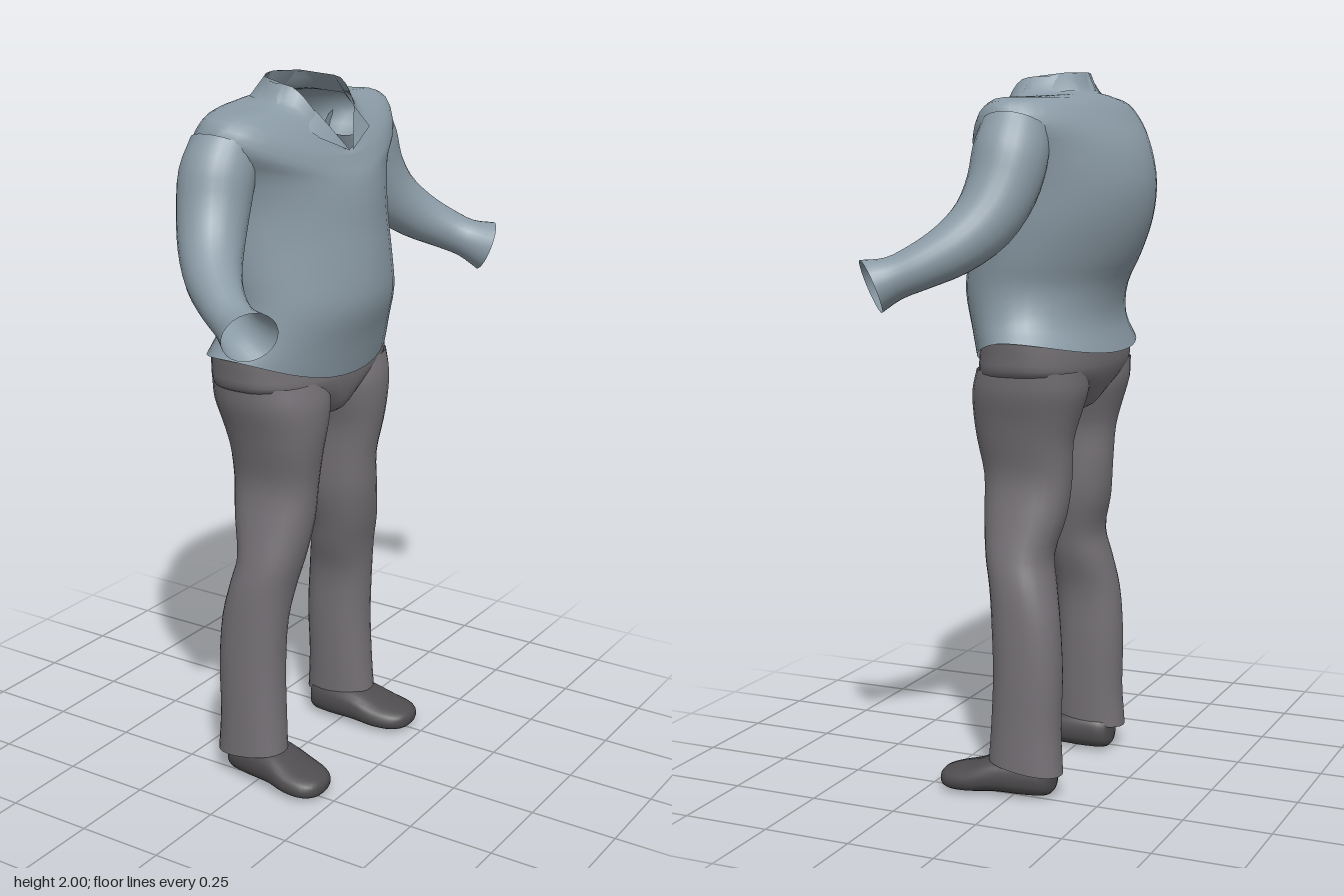
import * as THREE from 'three';

const V = (x, y, z) => new THREE.Vector3(x, y, z);
const material = (name, color) =>
  new THREE.MeshStandardMaterial({ name, color, side: THREE.DoubleSide });

// Skin through rings of equal point count, smoothed along the length; s = -1 mirrors it in z
function loft(rings, { s = 1, steps = 3, capStart = false, capEnd = false } = {}) {
  const n = rings[0].length, rows = (rings.length - 1) * steps + 1;
  const pos = [], idx = [];
  const lines = rings[0].map((_, j) => new THREE.CatmullRomCurve3(rings.map(r => r[j]), false, 'centripetal'));
  for (let i = 0; i < rows; i++)
    for (const line of lines) {
      const p = line.getPoint(i / (rows - 1));
      pos.push(p.x, p.y, p.z * s);
    }
  const tri = (a, b, c) => (s > 0 ? idx.push(a, b, c) : idx.push(a, c, b));
  for (let i = 0; i < rows - 1; i++)
    for (let j = 0; j < n; j++) {
      const a = i * n + j, b = i * n + (j + 1) % n;
      tri(a, a + n, b);
      tri(b, a + n, b + n);
    }
  const last = (rows - 1) * n;
  for (let j = 1; j < n - 1; j++) {
    if (capStart) tri(0, j, j + 1);
    if (capEnd) tri(last, last + j + 1, last + j);
  }
  const g = new THREE.BufferGeometry();
  g.setAttribute('position', new THREE.Float32BufferAttribute(pos, 3));
  g.setIndex(idx);
  g.computeVertexNormals();
  return g;
}

// Closed rounded outline: f(cos, sin) places each point, n is the squareness
function ring(count, n, f) {
  const e = v => Math.sign(v) * Math.abs(v) ** (2 / n);
  return Array.from({ length: count }, (_, j) => {
    const t = (j / count) * Math.PI * 2;
    return f(e(Math.cos(t)), e(Math.sin(t)));
  });
}

// Level ring with its own heights at back, side and front
function bodyRing([yBack, ySide, yFront, xBack, xFront, w, n = 2.05]) {
  return ring(40, n, (c, s) => V(
    (xBack + xFront) / 2 + c * (xFront - xBack) / 2,
    ySide + ((c > 0 ? yFront : yBack) - ySide) * c * c,
    w * s));
}

export function createModel() {
  const model = new THREE.Group();
  model.name = 'clothedFigure';
  const shirt = material('shirt blue grey', 0x8b9ba6);
  const trousers = material('trouser grey', 0x757176);
  const leather = material('shoe dark grey', 0x4f4d4f);
  const add = (name, geometry, mat) => {
    const mesh = new THREE.Mesh(geometry, mat);
    mesh.name = name;
    model.add(mesh);
  };

  // Shirt body from hem to open neck
  add('shirtBody', loft([
    [1.24, 1.285, 1.2, -0.22, 0.16, 0.352],
    [1.33, 1.335, 1.3, -0.195, 0.185, 0.32],
    [1.42, 1.42, 1.4, -0.21, 0.215, 0.305, 1.95],
    [1.5, 1.5, 1.5, -0.25, 0.21, 0.315, 1.88],
    [1.6, 1.6, 1.6, -0.285, 0.195, 0.325, 1.88],
    [1.7, 1.7, 1.68, -0.295, 0.185, 0.335, 1.88],
    [1.8, 1.79, 1.74, -0.27, 0.17, 0.36, 1.93],
    [1.87, 1.86, 1.77, -0.225, 0.155, 0.395],
    [1.92, 1.915, 1.79, -0.185, 0.145, 0.37],
    [1.94, 1.93, 1.8, -0.155, 0.14, 0.25],
    [1.95, 1.94, 1.805, -0.135, 0.135, 0.16],
    [2.0, 1.985, 1.81, -0.115, 0.13, 0.12],
  ].map(bodyRing)), shirt);

  // Trouser seat: wide at the hips, narrowing between the legs to the crotch
  add('trouserSeat', loft([
    [1.06, 1.065, 1.06, -0.07, 0.06, 0.05],
    [1.085, 1.09, 1.085, -0.13, 0.11, 0.085],
    [1.13, 1.135, 1.13, -0.162, 0.132, 0.18, 2.2],
    [1.19, 1.195, 1.19, -0.186, 0.142, 0.322, 2.5],
    [1.235, 1.24, 1.22, -0.19, 0.14, 0.335, 2.4],
    [1.29, 1.29, 1.24, -0.19, 0.14, 0.345, 2.2],
  ].map(bodyRing), { capStart: true }), trousers);

  for (const s of [1, -1]) {
    const side = s > 0 ? 'left' : 'right';

    // Sleeve: round sections across a bent arm line, open at the slanted cuff
    const path = [
      [-0.045, 1.845, 0.322, 0.092], [-0.045, 1.775, 0.36, 0.1], [-0.035, 1.69, 0.393, 0.095],
      [-0.005, 1.605, 0.445, 0.085], [0.05, 1.54, 0.51, 0.072], [0.12, 1.495, 0.565, 0.06],
      [0.175, 1.468, 0.595, 0.057], [0.23, 1.447, 0.615, 0.073],
    ];
    const points = path.map(p => V(p[0], p[1], p[2]));
    const reference = V(-0.3, 0.5, 0.9), cuffFacing = V(0.7, -0.35, 0.55).normalize();
    add(side + 'Sleeve', loft(path.map((p, i) => {
      const t = i === path.length - 1 ? cuffFacing
        : points[i + 1].clone().sub(points[Math.max(i - 1, 0)]).normalize();
      const u = reference.clone().addScaledVector(t, -reference.dot(t)).normalize();
      const w = u.clone().cross(t);
      return ring(24, 2, (c, q) => points[i].clone().addScaledVector(u, c * p[3]).addScaledVector(w, q * p[3]));
    }), { s }), shirt);

    // Trouser leg: height, back, front, inner and outer edges
    add(side + 'TrouserLeg', loft([
      [0.09, -0.14, 0.075, 0.168, 0.313], [0.2, -0.132, 0.068, 0.162, 0.312],
      [0.35, -0.135, 0.062, 0.156, 0.312], [0.5, -0.125, 0.068, 0.15, 0.308],
      [0.6, -0.105, 0.08, 0.12, 0.302], [0.68, -0.09, 0.098, 0.1, 0.288],
      [0.79, -0.118, 0.115, 0.074, 0.262], [0.9, -0.13, 0.122, 0.066, 0.244],
      [1.0, -0.135, 0.138, 0.058, 0.265], [1.07, -0.153, 0.146, 0.035, 0.284],
      [1.14, -0.172, 0.145, 0.01, 0.306], [1.2, -0.172, 0.128, 0.01, 0.314],
    ].map(([y, b, f, zi, zo]) => ring(28, 2.25, (c, q) => V(
      (b + f) / 2 + c * (f - b) / 2,
      y + (y < 0.1 ? c * 0.015 : 0),
      (zi + zo) / 2 + q * (zo - zi) / 2))), { s }), trousers);

    // Shoe: sections from heel to toe (x, bottom, top, centre z, half width)
    add(side + 'Shoe', loft([
      [-0.112, 0.03, 0.09, 0.222, 0.02], [-0.1, 0.012, 0.11, 0.223, 0.052],
      [-0.04, 0.006, 0.12, 0.226, 0.068], [0.05, 0.008, 0.112, 0.232, 0.077],
      [0.12, 0.004, 0.085, 0.24, 0.083], [0.18, 0.006, 0.07, 0.246, 0.072],
      [0.208, 0.014, 0.06, 0.247, 0.046], [0.218, 0.028, 0.046, 0.247, 0.012],
    ].map(([x, lo, hi, z, w]) => ring(24, 2.4, (c, q) => V(
      x, (lo + hi) / 2 + c * (hi - lo) / 2, z - q * w))), { s, capStart: true, capEnd: true }), leather);

    // Folded collar flap beside the open neck
    const flap = new THREE.BufferGeometry();
    flap.setAttribute('position', new THREE.Float32BufferAttribute([
      [-0.117, 2, 0], [-0.14, 1.95, 0], [-0.085, 1.997, 0.085], [-0.108, 1.947, 0.12],
      [0.005, 1.985, 0.121], [0.01, 1.932, 0.165], [0.09, 1.912, 0.088], [0.118, 1.855, 0.125], [0.138, 1.808, 0.006],
    ].flatMap(([x, y, z]) => [x, y, z * s]), 3));
    const faces = [0, 1, 2, 1, 3, 2, 2, 3, 4, 3, 5, 4, 4, 5, 6, 5, 7, 6, 6, 7, 8];
    flap.setIndex(s > 0 ? faces : faces.reverse());
    flap.computeVertexNormals();
    add(side + 'CollarFlap', flap, shirt);
  }
  return model;
}
